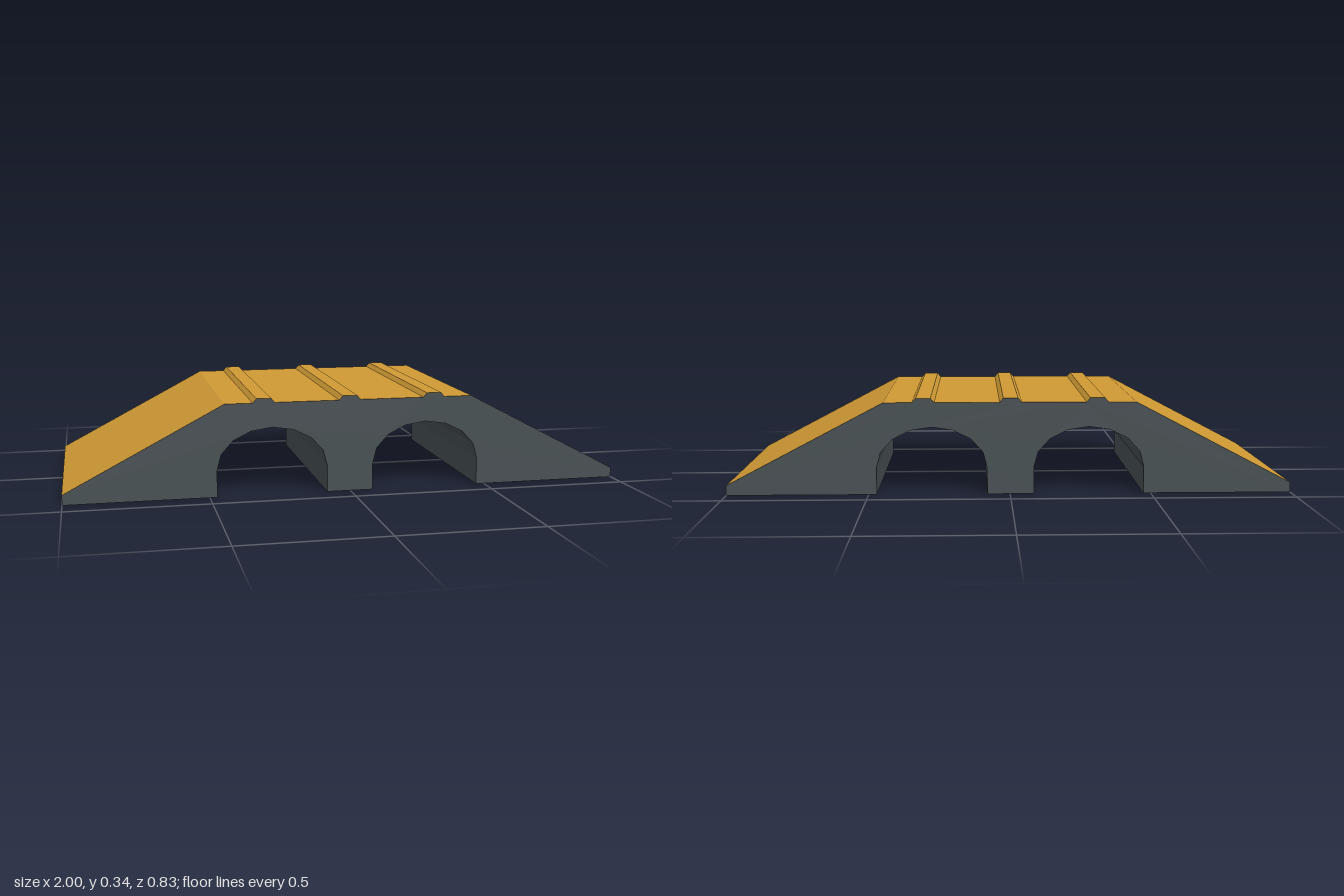
import * as THREE from 'three';

const HALF_DEPTH = 0.415, DECK = 0.327, LIP = 0.035;

// Flat-faced strip swept across the depth, following a counterclockwise profile
function strip(points) {
  const pos = [];
  for (let i = 0; i < points.length - 1; i++) {
    const [px, py] = points[i], [qx, qy] = points[i + 1], d = HALF_DEPTH;
    pos.push(px, py, d, px, py, -d, qx, qy, -d);
    pos.push(px, py, d, qx, qy, -d, qx, qy, d);
  }
  const g = new THREE.BufferGeometry();
  g.setAttribute('position', new THREE.Float32BufferAttribute(pos, 3));
  g.computeVertexNormals();
  return g;
}

// Faceted cable channel, from its left foot over the crown to its right foot
function channel(cx) {
  const pts = [[cx - 0.195, 0]];
  for (let i = 0; i <= 8; i++) {
    const a = Math.PI * (1 - i / 8);
    pts.push([cx + 0.195 * Math.cos(a), 0.095 + 0.145 * Math.sin(a)]);
  }
  pts.push([cx + 0.195, 0]);
  return pts;
}

export function createModel() {
  const rubber = new THREE.MeshStandardMaterial({ color: 0x485053 });
  rubber.name = 'dark rubber';
  const yellow = new THREE.MeshStandardMaterial({ color: 0xd09a34 });
  yellow.name = 'safety yellow';

  const group = new THREE.Group();
  group.name = 'cableRamp';
  const add = (name, geometry, material) => {
    const mesh = new THREE.Mesh(geometry, material);
    mesh.name = name;
    group.add(mesh);
    return mesh;
  };

  // Underside with two channels, plus the low vertical end lips
  const base = [[-1, LIP], [-1, 0], ...channel(-0.279), ...channel(0.276), [1, 0], [1, LIP]];

  // Sloped and flat tread with three chamfered grip ridges, right to left
  const tread = [[1, LIP], [0.445, DECK]];
  for (const x of [0.305, -0.002, -0.308]) {
    tread.push([x + 0.039, DECK], [x + 0.026, 0.342], [x - 0.026, 0.342], [x - 0.039, DECK]);
  }
  tread.push([-0.445, DECK], [-1, LIP]);

  add('underside', strip(base), rubber);
  add('tread', strip(tread), yellow);

  // Side walls closing the front and back
  const outline = [...base, ...tread.slice(1, -1)].map(([x, y]) => new THREE.Vector2(x, y));
  const wall = new THREE.ShapeGeometry(new THREE.Shape(outline));
  add('frontWall', wall, rubber).position.z = HALF_DEPTH;

  const backOutline = outline.map((p) => new THREE.Vector2(-p.x, p.y));
  const back = add('backWall', new THREE.ShapeGeometry(new THREE.Shape(backOutline)), rubber);
  back.rotation.y = Math.PI;
  back.position.z = -HALF_DEPTH;

  return group;
}
